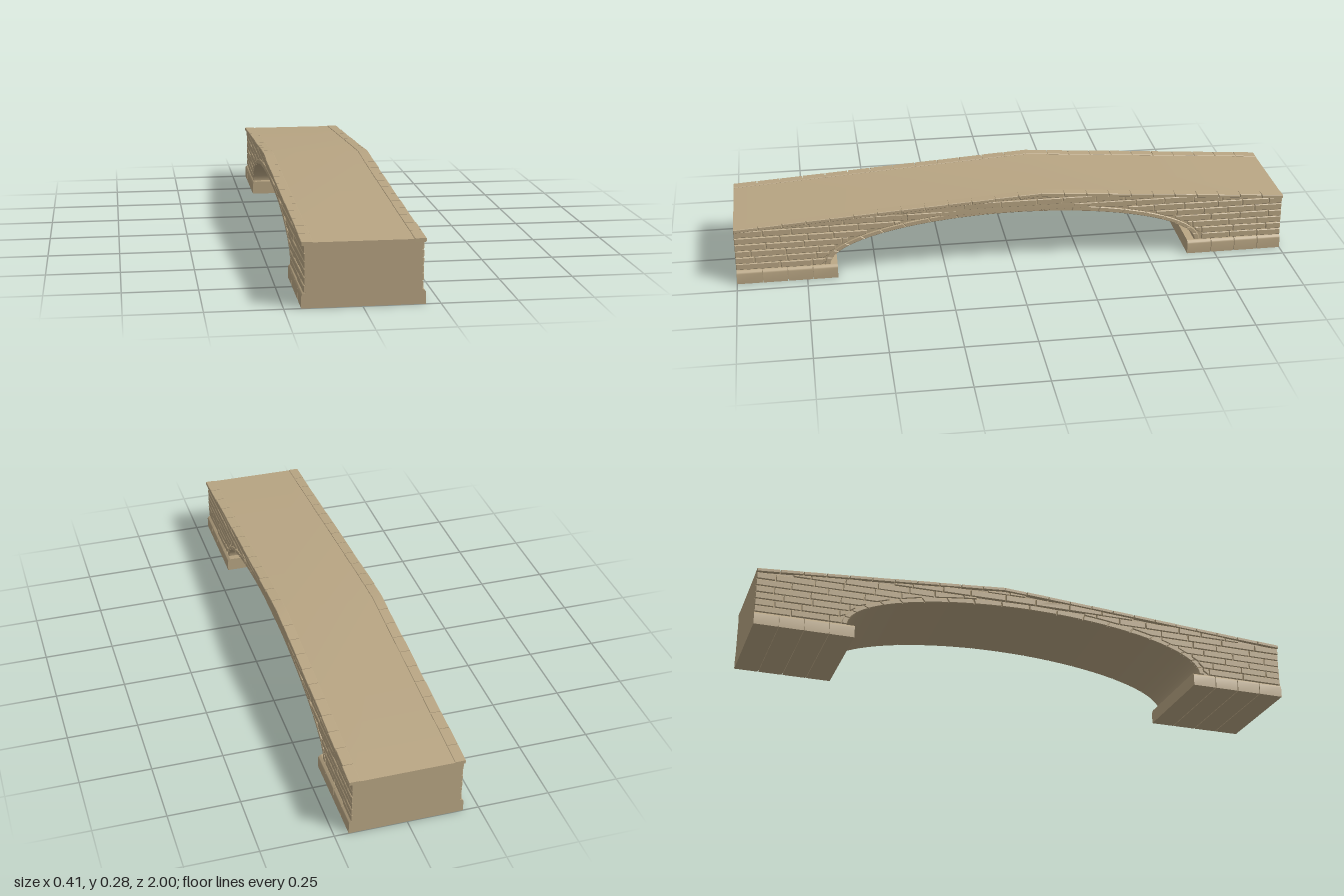
import * as THREE from 'three';
import { mergeGeometries, toCreasedNormals } from 'three/addons/utils/BufferGeometryUtils.js';

const PEAK = -0.1, ARCH_Z = -0.005, ARCH_Y = 0.05, ARCH_A = 0.67, ARCH_B = 0.157, RING = 0.019;

// deck height, rising in two straight slopes to the peak
const deckY = (z) => 0.212 + 0.065 * (z > PEAK ? (1 - z) / (1 - PEAK) : (z + 1) / (PEAK + 1));
// the whole span bows slightly to one side
const bow = (z) => -0.008 * Math.min(1, (1 - Math.abs(z)) / 0.9);
// height of the outer edge of the arch ring, zero beyond it
const ringTop = (z) => {
  const t = (z - ARCH_Z) / (ARCH_A + RING);
  return Math.abs(t) >= 1 ? 0 : ARCH_Y + (ARCH_B + RING) * Math.sqrt(1 - t * t);
};
const archPoint = (a, grow) => [
  ARCH_Z + (ARCH_A + grow) * Math.cos(a), ARCH_Y + (ARCH_B + grow) * Math.sin(a),
];

// side outline of [z, y] points, extruded between x0 and x1 and bowed
function slab(points, x0, x1, bevel = 0) {
  const shape = new THREE.Shape(points.map(([z, y]) => new THREE.Vector2(z, y)));
  const g = new THREE.ExtrudeGeometry(shape, {
    depth: x1 - x0 - 2 * bevel, bevelEnabled: bevel > 0, bevelThickness: bevel,
    bevelSize: bevel, bevelOffset: -bevel, bevelSegments: 1,
  });
  g.rotateY(-Math.PI / 2).translate(x1 - bevel, 0, 0);
  const p = g.attributes.position;
  for (let i = 0; i < p.count; i++) p.setX(i, p.getX(i) + bow(p.getZ(i)));
  return g;
}

export function createModel() {
  const group = new THREE.Group();
  const stone = new THREE.MeshStandardMaterial({ color: 0xb8a583 });
  stone.name = 'sandstone';
  const add = (name, geometries, crease = 0.4) => {
    const mesh = new THREE.Mesh(toCreasedNormals(mergeGeometries(geometries), crease), stone);
    mesh.name = name;
    group.add(mesh);
  };
  let seed = 7;
  const rand = () => (seed = (seed * 16807) % 2147483647) / 2147483647;

  // solid body with the deck on top and the arch cut out below
  const body = [[1, 0.02], [1, 0.212], [PEAK, 0.277], [-1, 0.212], [-1, 0.02]];
  for (let i = 0; i <= 48; i++) body.push(archPoint(Math.PI * (1 - i / 48), 0));
  body.splice(5, 0, [ARCH_Z - ARCH_A, 0.02]);
  body.push([ARCH_Z + ARCH_A, 0.02]);
  add('bridgeBody', [slab(body, -0.182, 0.188)]);

  // footings: rows of blocks with rounded upper edges
  const section = new THREE.Shape();
  section.moveTo(-0.195, 0);
  section.lineTo(0.201, 0);
  section.lineTo(0.201, 0.038);
  section.quadraticCurveTo(0.2, 0.047, 0.188, 0.05);
  section.lineTo(-0.182, 0.05);
  section.quadraticCurveTo(-0.194, 0.047, -0.195, 0.038);
  for (const [name, from, to] of [['frontFooting', 0.64, 1], ['backFooting', -1, -0.648]]) {
    const step = (to - from) / 4;
    const blocks = [];
    for (let i = 0; i < 4; i++) {
      const g = new THREE.ExtrudeGeometry(section, { depth: step - (i < 3 ? 0.003 : 0), bevelEnabled: false, curveSegments: 5 });
      blocks.push(g.translate(0, 0, from + i * step));
    }
    const core = new THREE.BoxGeometry(0.384, 0.042, to - from - 0.01);
    blocks.push(core.translate(0.003, 0.025, (from + to) / 2).toNonIndexed());
    add(name, blocks, 0.6);
  }

  for (const side of [1, -1]) {
    const label = side > 0 ? 'left' : 'right';
    const span = (inner, outer) => (side > 0 ? [inner + 0.003, outer + 0.003] : [-outer + 0.003, -inner + 0.003]);

    // courses of brick, trimmed by the arch ring and the coping
    const bricks = [];
    for (let row = 0; row < 9; row++) {
      const lo = 0.051 + row * 0.0255, hi = lo + 0.0235;
      let z = -1, first = row % 2 ? 0.5 : 1;
      while (z < 0.999) {
        let end = z + (0.09 + 0.05 * rand()) * first;
        if (end > 0.96) end = 1;
        first = 1;
        const top = [], bottom = [];
        for (let i = 0; i <= 6; i++) {
          const s = z + (end - z - 0.003) * (i / 6) + (end === 1 ? 0.003 * (i / 6) : 0);
          const b = Math.max(lo, ringTop(s) + 0.002), t = Math.min(hi, deckY(s) - 0.01);
          if (t - b > 0.007) {
            bottom.push([s, b]);
            top.unshift([s, t]);
          }
        }
        if (bottom.length > 1) bricks.push(slab([...bottom, ...top], ...span(0.175, 0.189 + 0.003 * rand()), 0.0022));
        z = end;
      }
    }
    add(label + 'WallBricks', bricks);

    // wedge stones around the arch
    const ring = [];
    const count = 20;
    for (let i = 0; i < count; i++) {
      const inner = [], outer = [];
      for (let j = 0; j <= 3; j++) {
        const a = Math.PI * (i + 0.01 + 0.97 * (j / 3)) / count;
        inner.unshift(archPoint(a, 0));
        outer.push(archPoint(a, RING));
      }
      ring.push(slab([...outer, ...inner], ...span(0.175, 0.191), 0.002));
    }
    add(label + 'ArchRing', ring);

    // coping stones following both slopes
    const coping = [];
    for (const [from, to, n] of [[-1, PEAK, 11], [PEAK, 1, 13]]) {
      const step = (to - from) / n;
      for (let i = 0; i < n; i++) {
        const a = from + i * step, b = a + step - (i < n - 1 ? 0.003 : 0);
        const ya = deckY(a), yb = deckY(b);
        coping.push(slab([[a, ya - 0.01], [b, yb - 0.01], [b, yb + 0.002], [a, ya + 0.002]], ...span(0.16, 0.196 + 0.003 * rand()), 0.0015));
      }
    }
    add(label + 'Coping', coping);
  }
  return group;
}
